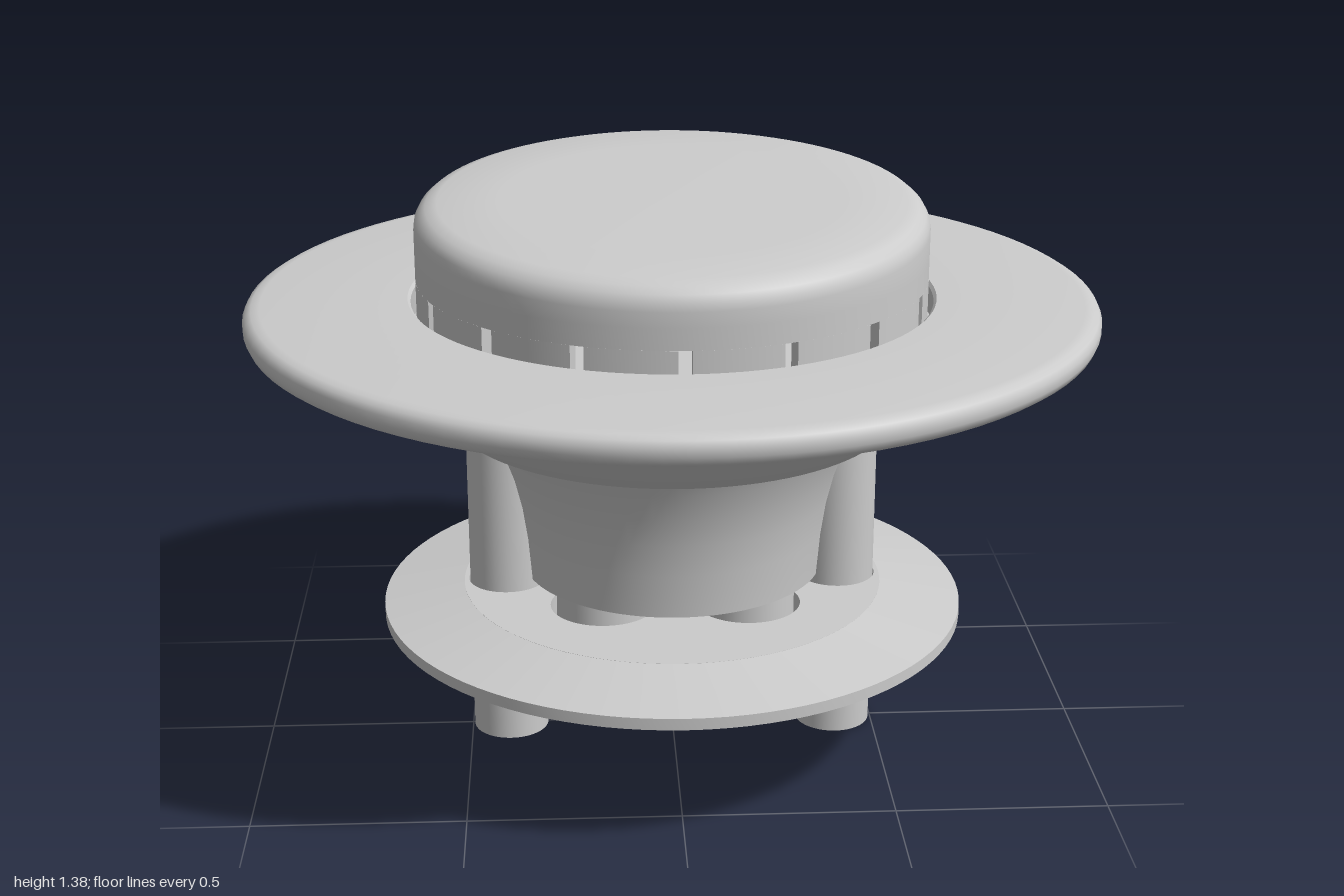
import * as THREE from 'three';
import { toCreasedNormals } from 'three/addons/utils/BufferGeometryUtils.js';

const material = new THREE.MeshStandardMaterial({ color: 0xcccccc });
const CREASE = 0.6;
const POST_X = 0.404;   // offset of the two posts
const PILLAR = 0.172;   // x and z offset of the four pillars

export function createModel() {
  const model = new THREE.Group();

  const add = (name, geometry, parent = model) => {
    const mesh = new THREE.Mesh(geometry, material);
    mesh.name = name;
    parent.add(mesh);
    return mesh;
  };
  const group = (name) => {
    const g = new THREE.Group();
    g.name = name;
    model.add(g);
    return g;
  };
  const lathe = (points, segments = 96) =>
    new THREE.LatheGeometry(points.map(([r, y]) => new THREE.Vector2(r, y)), segments);
  const turned = (points) => toCreasedNormals(lathe(points), CREASE);
  const plate = (shape, y0, y1) => {
    const g = new THREE.ExtrudeGeometry(shape, { depth: y1 - y0, bevelEnabled: false, curveSegments: 40 });
    g.rotateX(-Math.PI / 2).translate(0, y0, 0);
    return toCreasedNormals(g, CREASE);
  };
  const rod = (radius, y0, y1, x = 0, z = 0) =>
    new THREE.CylinderGeometry(radius, radius, y1 - y0, 40).translate(x, (y0 + y1) / 2, z);
  const hole = (x, y, r) => new THREE.Path().absarc(x, y, r, 0, Math.PI * 2, true);
  const corners = [[1, 1], [-1, 1], [-1, -1], [1, -1]];

  // Cap: hollow shell whose top slopes down to the front and is slightly domed
  const cap = group('cap');
  const shell = lathe([
    [0.57, 1.17], [0.6, 1.17], [0.6, 1.22], [0.6, 1.3], [0.597, 1.318], [0.588, 1.334],
    [0.572, 1.347], [0.545, 1.355], [0.4, 1.355], [0.25, 1.355], [0.1, 1.355], [0, 1.355],
    [0, 1.32], [0.57, 1.3], [0.57, 1.17],
  ]);
  const p = shell.attributes.position;
  for (let i = 0; i < p.count; i++) {
    const x = p.getX(i), y = p.getY(i), z = p.getZ(i);
    if (y > 1.25) p.setY(i, y - 0.064 * z - 0.02 * (x * x + z * z));
  }
  add('capTop', toCreasedNormals(shell, CREASE), cap);

  // Sixteen wall pieces leave the narrow slots between them
  for (let i = 0; i < 16; i++) {
    const a = (i * Math.PI) / 8 + 0.026, b = ((i + 1) * Math.PI) / 8 - 0.026;
    const s = new THREE.Shape();
    s.absarc(0, 0, 0.6, a, b, false);
    s.absarc(0, 0, 0.57, b, a, true);
    const g = new THREE.ExtrudeGeometry(s, { depth: 0.12, bevelEnabled: false, curveSegments: 8 });
    add('capWall', toCreasedNormals(g.rotateX(-Math.PI / 2).translate(0, 1.05, 0), CREASE), cap);
  }

  // Wide flange, recessed underneath, with radial ribs
  const flange = group('flange');
  add('flangeRing', turned([
    [0.613, 1.05], [0.66, 1.05], [0.66, 1.09], [0.965, 1.09], [0.967, 1.057], [0.98, 1.055],
    [0.993, 1.064], [1, 1.08], [1, 1.1], [0.993, 1.114], [0.98, 1.122], [0.96, 1.125],
    [0.62, 1.125], [0.613, 1.118], [0.613, 1.05],
  ]), flange);
  for (let i = 0; i < 8; i++) {
    const rib = new THREE.Group();
    rib.name = 'rib';
    rib.rotation.y = Math.PI / 8 + (i * Math.PI) / 4;
    add('ribBar', new THREE.BoxGeometry(0.32, 0.04, 0.032).translate(0.812, 1.073, 0), rib);
    add('ribBoss', rod(0.034, 1.053, 1.093, 0.82), rib);
    flange.add(rib);
  }

  // Flared cup with its neck
  add('cup', turned([
    [0, 0.9], [0.5, 0.9], [0.5, 0.83], [0.53, 0.83], [0.7, 0.953], [0.713, 0.968], [0.715, 0.982],
    [0.708, 0.998], [0.69, 1.005], [0.655, 1.005], [0.655, 1.055], [0, 1.055],
  ]));

  // Trumpet body lofted from sections, with a channel on each side for the posts
  const levels = [
    [0.445, 0.365], [0.55, 0.373], [0.63, 0.384], [0.7, 0.4], [0.77, 0.424], [0.83, 0.45], [0.9, 0.49],
  ];
  const section = (R) => {
    const w = 0.13, a0 = Math.asin(w / R), xe = R * Math.cos(a0), half = [];
    for (let i = 0; i <= 16; i++) {
      const t = -Math.PI / 2 + (i * Math.PI) / 16;
      half.push([xe - (xe - 0.26) * Math.cos(t), w * Math.sin(t)]);
    }
    for (let i = 1; i < 32; i++) {
      const a = a0 + (i / 32) * (Math.PI - 2 * a0);
      half.push([R * Math.cos(a), R * Math.sin(a)]);
    }
    return [...half, ...half.map(([x, z]) => [-x, -z])];
  };
  const verts = [], faces = [];
  let n = 0;
  levels.forEach(([y, R]) => {
    const loop = section(R);
    n = loop.length;
    loop.forEach(([x, z]) => verts.push(x, y, z));
  });
  for (let j = 0; j < levels.length - 1; j++) {
    for (let i = 0; i < n; i++) {
      const a = j * n + i, b = j * n + ((i + 1) % n);
      faces.push(a, a + n, b, b, a + n, b + n);
    }
  }
  const centre = verts.length / 3;
  verts.push(0, levels[0][0], 0);
  for (let i = 0; i < n; i++) faces.push(centre, i, (i + 1) % n);
  const body = new THREE.BufferGeometry();
  body.setAttribute('position', new THREE.Float32BufferAttribute(verts, 3));
  body.setIndex(faces);
  add('body', toCreasedNormals(body, CREASE));

  // Two long posts and four short pillars
  for (const side of [1, -1]) add('post', rod(0.092, 0, 0.9, side * POST_X));
  for (const [sx, sz] of corners) add('pillar', rod(0.112, 0.275, 0.45, sx * PILLAR, sz * PILLAR));

  // Lower disc: pierced centre and a chamfered rim
  const disc = group('disc');
  const centreShape = new THREE.Shape().absarc(0, 0, 0.51, 0, Math.PI * 2, false);
  for (const s of [1, -1]) centreShape.holes.push(hole(s * POST_X, 0, 0.095));
  for (const [sx, sz] of corners) centreShape.holes.push(hole(sx * PILLAR, sz * PILLAR, 0.127));
  add('discCentre', plate(centreShape, 0.33, 0.397), disc);
  add('discRim', turned([[0.508, 0.33], [0.705, 0.33], [0.705, 0.358], [0.508, 0.397]]), disc);

  // Four-lobed bracket with screw holes
  const bracket = new THREE.Shape();
  for (let i = 0; i < 4; i++) {
    const q = (i * Math.PI) / 2;
    bracket.absarc(POST_X * Math.cos(q), POST_X * Math.sin(q), 0.125, q - 1.595, q + 1.595, true);
    bracket.absarc(0, 0, 0.42, q + 0.302, q + Math.PI / 2 - 0.302, false);
  }
  for (const [sx, sz] of corners) bracket.holes.push(hole(sx * 0.19, sz * 0.19, 0.035));
  add('bracket', plate(bracket, 0.25, 0.28));

  // Socket under the bracket
  add('socket', turned([[0, 0.24], [0.148, 0.24], [0.148, 0.08], [0.195, 0.08], [0.195, 0.255]]));

  return model;
}
